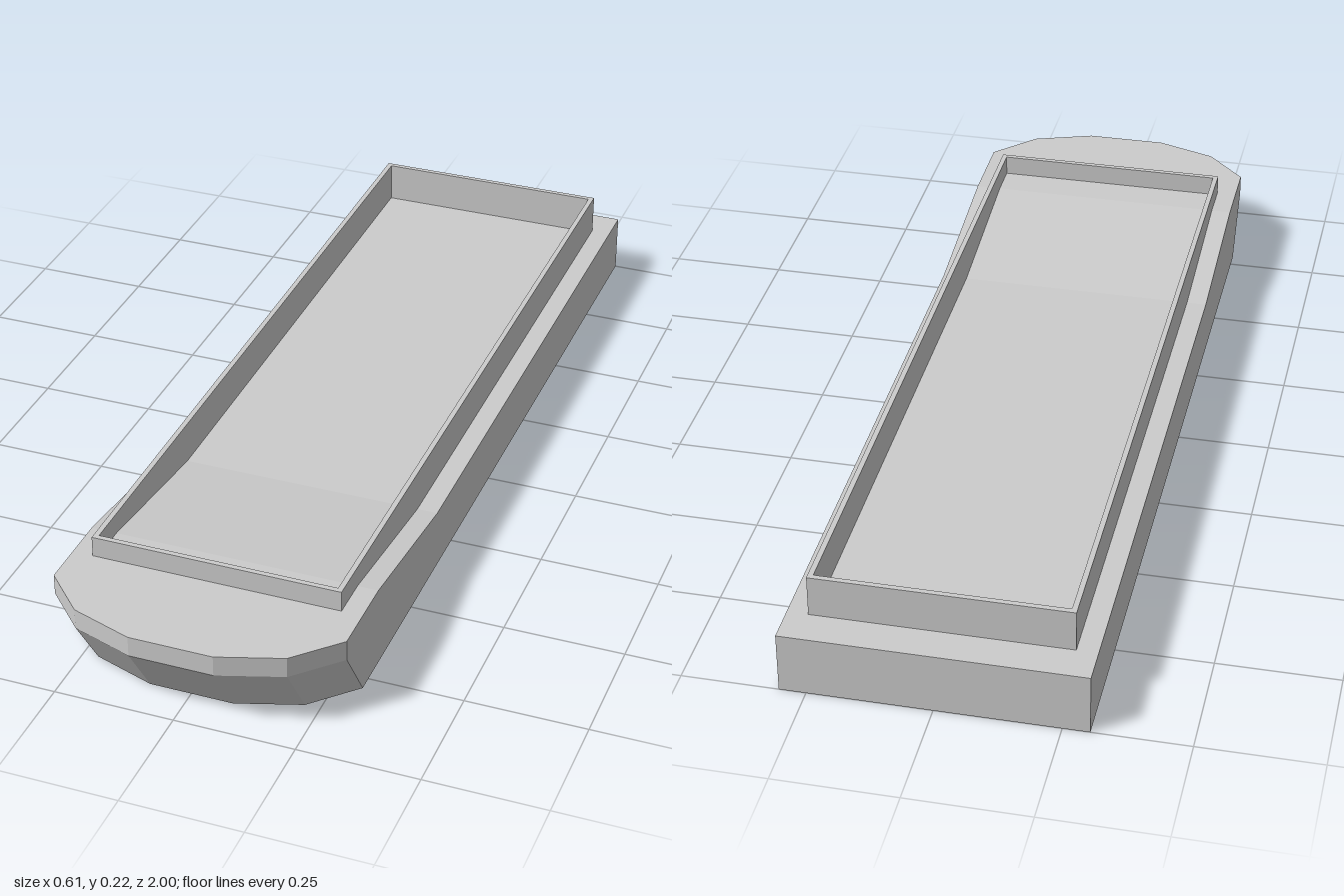
import * as THREE from 'three';

const AFT_DECK = 0.13, FORE_DECK = 0.174, RISE_START = 0.345, RISE_END = 0.695;
const RIM_TOP = 0.218, BOW_RAKE = 0.087;

// Deck height along the length: low aft, a ramp, then a raised foredeck
function deckHeight(z) {
  const t = THREE.MathUtils.clamp((z - RISE_START) / (RISE_END - RISE_START), 0, 1);
  return THREE.MathUtils.lerp(AFT_DECK, FORE_DECK, t);
}

// Hull lofted through six-point sections from stern to bow
function hullGeometry() {
  const stations = [ // half width, z, rake of the bottom edge
    [0.304, -1, 0], [0.304, RISE_START, 0], [0.304, RISE_END, 0],
    [0.304, 0.868, BOW_RAKE], [0.218, 0.956, BOW_RAKE], [0.087, 1, BOW_RAKE],
  ];
  const positions = [], index = [];
  for (const [x, z, rake] of stations) {
    const top = deckHeight(z), knuckle = top * 0.75;
    positions.push(
      x, 0, z - rake, x, knuckle, z, x, top, z,
      -x, top, z, -x, knuckle, z, -x, 0, z - rake);
  }
  const quad = (a, b, c, d) => index.push(a, b, c, a, c, d);
  for (let i = 0; i < stations.length - 1; i++) {
    const a = i * 6, b = a + 6;
    for (let j = 0; j < 6; j++) {
      const k = (j + 1) % 6;
      quad(a + j, a + k, b + k, b + j);
    }
  }
  // Transom and stem faces
  const f = (stations.length - 1) * 6;
  quad(f, f + 1, f + 4, f + 5);
  quad(f + 1, f + 2, f + 3, f + 4);
  quad(5, 4, 1, 0);
  quad(4, 3, 2, 1);

  const indexed = new THREE.BufferGeometry();
  indexed.setAttribute('position', new THREE.Float32BufferAttribute(positions, 3));
  indexed.setIndex(index);
  const geometry = indexed.toNonIndexed();
  geometry.computeVertexNormals();
  return geometry;
}

// Rectangle in plan (y = -z) with extra points where the deck bends
function planRectangle(x, zBack, zFront) {
  const zs = [zBack, RISE_START, RISE_END, zFront];
  return [
    ...zs.map(z => new THREE.Vector2(-x, -z)),
    ...zs.reverse().map(z => new THREE.Vector2(x, -z)),
  ];
}

// Thin hold rim whose lower edge follows the deck
function rimGeometry() {
  const shape = new THREE.Shape(planRectangle(0.261, -0.924, 0.782));
  shape.holes.push(new THREE.Path(planRectangle(0.25, -0.913, 0.771)));
  const geometry = new THREE.ExtrudeGeometry(shape, { depth: RIM_TOP, bevelEnabled: false });
  geometry.rotateX(-Math.PI / 2);
  const p = geometry.attributes.position;
  for (let i = 0; i < p.count; i++) {
    if (p.getY(i) < RIM_TOP / 2) p.setY(i, deckHeight(p.getZ(i)));
  }
  geometry.computeVertexNormals();
  return geometry;
}

export function createModel() {
  const group = new THREE.Group();
  group.name = 'barge';
  const material = new THREE.MeshStandardMaterial({ color: 0xcccccc, flatShading: true });

  const hull = new THREE.Mesh(hullGeometry(), material);
  hull.name = 'hull';
  const rim = new THREE.Mesh(rimGeometry(), material);
  rim.name = 'cargoHoldRim';
  group.add(hull, rim);
  return group;
}
